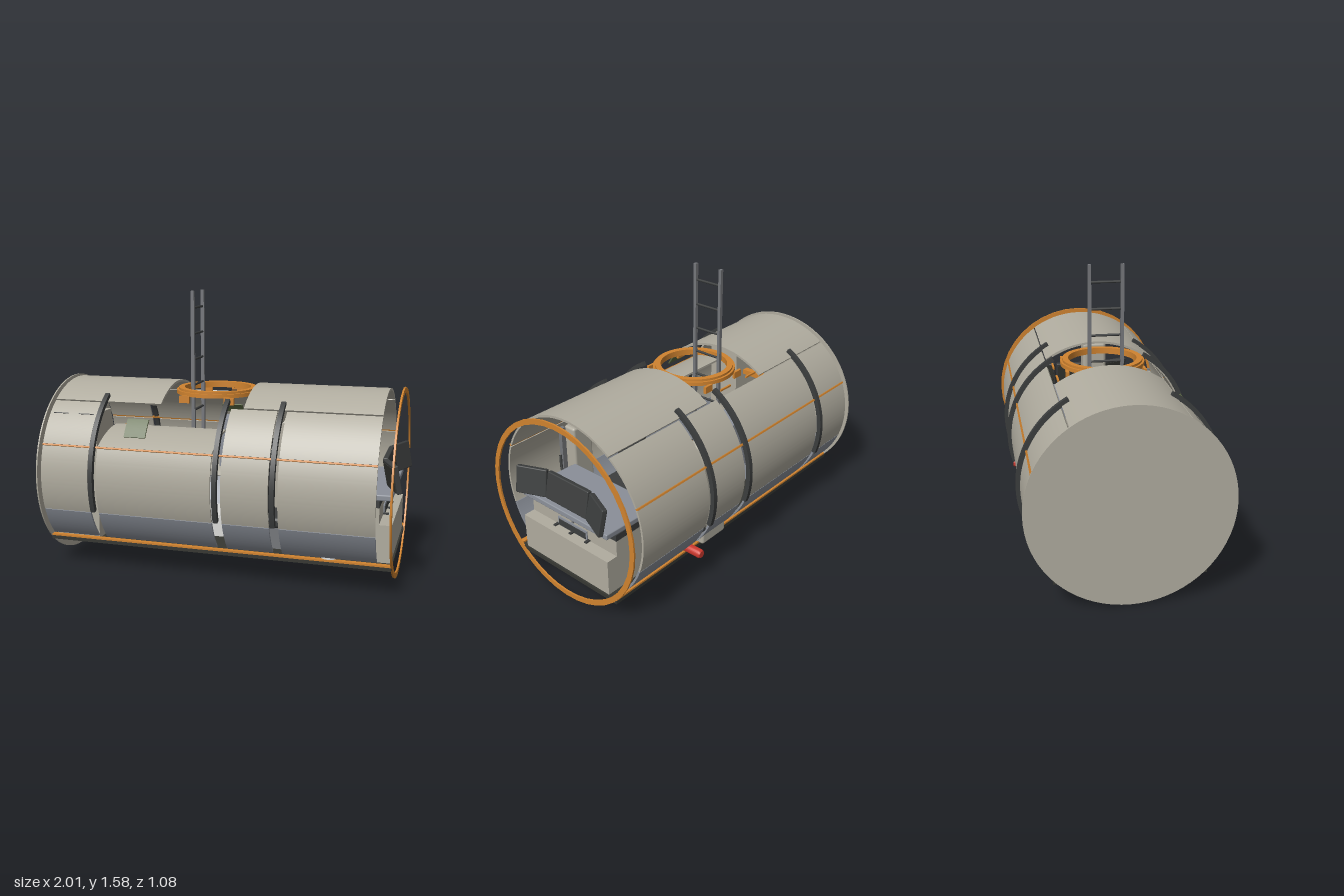
import * as THREE from 'three';
import { toCreasedNormals } from 'three/addons/utils/BufferGeometryUtils.js';
import { RoundedBoxGeometry } from 'three/addons/geometries/RoundedBoxGeometry.js';

const mat = (name, color) => {
  const m = new THREE.MeshStandardMaterial({ color });
  m.name = name;
  return m;
};
const M = {
  shell: mat('warm grey shell', 0xb0ac9f),
  blue: mat('blue grey panel', 0x8b9099),
  dark: mat('charcoal', 0x3c3e3e),
  floor: mat('dark floor', 0x363732),
  orange: mat('orange trim', 0xd0832f),
  steel: mat('ladder steel', 0x75777b),
  green: mat('green screen', 0x5a6842),
  red: mat('red', 0xcc382e),
  white: mat('off white', 0xdcdcda),
};
const CY = 0.54; // height of the hull axis
const D = Math.PI / 180;

export function createModel() {
  const root = new THREE.Group();
  root.name = 'habitatModule';

  const add = (name, geo, material, x = 0, y = 0, z = 0, parent = root) => {
    const m = new THREE.Mesh(geo, material);
    m.name = name;
    m.position.set(x, y, z);
    parent.add(m);
    return m;
  };
  // box given by its limits on each axis
  const box = (name, material, x0, x1, y0, y1, z0, z1, round = 0) => add(name,
    round ? new RoundedBoxGeometry(x1 - x0, y1 - y0, z1 - z0, 2, round)
      : new THREE.BoxGeometry(x1 - x0, y1 - y0, z1 - z0),
    material, (x0 + x1) / 2, (y0 + y1) / 2, (z0 + z1) / 2);
  // curved plate around the x axis; angles in degrees from +z upwards
  const arcPlate = (x0, x1, r0, r1, a0, a1) => {
    const s = new THREE.Shape();
    const p0 = Math.PI - a1 * D, p1 = Math.PI - a0 * D;
    s.absarc(0, 0, r1, p0, p1, false);
    s.absarc(0, 0, r0, p1, p0, true);
    const g = new THREE.ExtrudeGeometry(s, { depth: x1 - x0, bevelEnabled: false, curveSegments: 20 });
    g.rotateY(Math.PI / 2);
    g.translate(x0, 0, 0);
    return toCreasedNormals(g, 0.5);
  };
  const plate = (name, material, x0, x1, r0, r1, a0, a1, side = 1) => side > 0
    ? add(name, arcPlate(x0, x1, r0, r1, a0, a1), material, 0, CY)
    : add(name, arcPlate(x0, x1, r0, r1, 180 - a1, 180 - a0), material, 0, CY);

  // hull walls: four bays, three rows of panels on each side
  const bays = [[-0.975, -0.69], [-0.64, 0.022], [0.08, 0.34], [0.392, 0.902]];
  for (const side of [1, -1]) {
    bays.forEach(([x0, x1], i) => {
      plate('lowerPanel', M.blue, x0, x1, 0.508, 0.52, -42, -20.2, side);
      plate('middlePanel', M.shell, x0, x1, 0.508, 0.52, -19.8, 21.6, side);
      if (side < 0 || i !== 1) plate('upperPanel', M.shell, x0, x1, 0.508, 0.52, 23, 54, side);
    });
    plate('sideRail', M.orange, -0.975, 0.902, 0.512, 0.526, 21.8, 22.8, side);
    for (const x of [-0.665, 0.05, 0.365])
      plate('hoop', M.dark, x - 0.013, x + 0.013, 0.516, 0.542, -18, 60, side);
    box('floorRail', M.orange, -0.99, 0.975, 0.168, 0.18, side * 0.375 - 0.014, side * 0.375 + 0.014);
  }

  // open side hatch, swung inwards about its lower edge
  const hinge = new THREE.Group();
  hinge.name = 'openSideHatch';
  hinge.position.set(0, 0.743, 0.479);
  hinge.rotation.x = -0.6;
  root.add(hinge);
  add('hatchPanel', arcPlate(-0.64, 0.022, 0.508, 0.52, 23, 54), M.shell, 0, CY - 0.743, -0.479, hinge);

  // small plates on the walls
  plate('greenDisplay', M.green, -0.495, -0.37, 0.514, 0.522, 30, 42.5);
  plate('innerDisplay', M.green, -0.18, -0.05, 0.498, 0.506, 140, 147);
  plate('wallSlot', M.dark, -0.955, -0.865, 0.518, 0.5215, 43.7, 44.3);
  plate('wallSlot', M.dark, -0.80, -0.705, 0.518, 0.5215, 43.7, 44.3);

  // roof and end caps
  plate('roofRear', M.shell, -0.975, -0.33, 0.508, 0.521, 55, 125);
  plate('roofFront', M.shell, 0.15, 0.902, 0.508, 0.521, 55, 125);
  const disc = add('endWall', new THREE.CylinderGeometry(0.533, 0.533, 0.008, 72), M.shell, -0.996, 0.5375);
  disc.rotation.z = Math.PI / 2;
  add('endRing', arcPlate(0.974, 0.984, 0.503, 0.533, 0, 359.99), M.orange, 0, 0.5375);
  box('floor', M.floor, -0.992, 0.978, 0.15, 0.17, -0.39, 0.39);

  // top hatch collar with a stepped rim
  const collar = [[0.193, 1.0], [0.238, 1.0], [0.238, 1.022], [0.226, 1.022],
    [0.226, 1.035], [0.193, 1.035], [0.193, 1.0]].map(p => new THREE.Vector2(...p));
  add('hatchCollar', toCreasedNormals(new THREE.LatheGeometry(collar, 64), 0.5), M.orange, -0.09);
  for (const sx of [-1, 1]) for (const sz of [-1, 1])
    box('collarBracket', M.orange, -0.09 + sx * 0.13 - 0.03, -0.09 + sx * 0.13 + 0.03,
      0.965, 1.005, sz * 0.215 - 0.008, sz * 0.215 + 0.008);
  for (const x of [-0.27, -0.04]) box('hatchEdge', M.orange, x - 0.045, x + 0.045, 0.975, 0.985, -0.28, -0.27);

  // ladder through the hatch
  for (const z of [-0.09, 0.09]) box('ladderRail', M.steel, -0.22, -0.2, 0.17, 1.585, z - 0.009, z + 0.009);
  for (let y = 1.49; y > 0.2; y -= 0.147) {
    const r = add('ladderRung', new THREE.CylinderGeometry(0.007, 0.007, 0.18, 10), M.dark, -0.21, y, 0);
    r.rotation.x = Math.PI / 2;
  }

  // console: drawer, worktop and handle
  box('drawer', M.shell, 0.58, 0.968, 0.172, 0.38, -0.325, 0.325);
  box('consoleBody', M.shell, 0.58, 0.9, 0.38, 0.472, -0.325, 0.325);
  box('handlePlate', M.blue, 0.9, 0.906, 0.378, 0.435, -0.11, 0.115);
  box('handleRecess', M.dark, 0.906, 0.91, 0.385, 0.422, -0.1, 0.105);
  box('consoleLock', M.steel, 0.9, 0.906, 0.44, 0.458, -0.006, 0.006);
  box('deskEdge', M.dark, 0.58, 0.9, 0.472, 0.51, -0.325, 0.325);
  const desk = box('worktop', M.blue, 0.58, 0.965, 0.508, 0.54, -0.325, 0.325, 0.006);
  desk.rotation.z = 0.03;
  for (const z of [-0.12, 0, 0.12]) box('drawerClip', M.dark, 0.87, 0.93, 0.38, 0.388, z - 0.008, z + 0.008);

  // three leaning monitors
  const monitor = (z, width, x, yaw) => {
    const g = new THREE.Group();
    g.name = 'monitor';
    g.position.set(x, 0.63, z);
    g.rotation.set(0, yaw, 0.2, 'YXZ');
    add('monitorCase', new RoundedBoxGeometry(0.03, 0.155, width, 2, 0.006), M.dark, 0, 0, 0, g);
    add('monitorScreen', new THREE.BoxGeometry(0.004, 0.13, width - 0.02), M.floor, -0.016, 0, 0, g);
    root.add(g);
  };
  monitor(0, 0.31, 0.92, 0);
  monitor(0.245, 0.18, 0.955, 0.4);
  monitor(-0.245, 0.18, 0.955, -0.4);

  // operator seat
  box('seatBase', M.steel, 0.27, 0.41, 0.17, 0.3, 0.12, 0.26);
  box('seatCushion', M.dark, 0.24, 0.46, 0.3, 0.36, 0.08, 0.3, 0.02);
  box('seatBack', M.dark, 0.22, 0.28, 0.36, 0.7, 0.09, 0.29, 0.02);
  box('headrest', M.dark, 0.22, 0.28, 0.715, 0.785, 0.12, 0.26, 0.02);

  // folded seat by the rear wall
  const fold = box('foldedSeat', M.dark, 0.33, 0.4, 0.23, 0.47, -0.39, -0.33, 0.01);
  fold.rotation.x = 0.08;
  const pad = box('foldedSeatPad', M.dark, 0.34, 0.4, 0.3, 0.43, -0.455, -0.385, 0.01);
  pad.rotation.x = 0.12;

  // lockers, wall boards and loose equipment
  box('tallLocker', M.shell, 0.12, 0.32, 0.17, 0.79, -0.42, -0.3, 0.015);
  box('wallLocker', M.blue, -0.15, 0.08, 0.5, 0.8, -0.38, -0.22);
  box('sideLocker', M.shell, 0.42, 0.56, 0.32, 0.74, 0.34, 0.425, 0.015);
  box('sideBoard', M.steel, 0.57, 0.6, 0.38, 0.74, 0.4, 0.425);
  box('rearLocker', M.shell, -0.97, -0.7, 0.17, 0.9, 0.15, 0.36);
  box('bunk', M.blue, -0.96, -0.35, 0.19, 0.34, -0.36, 0.1, 0.02);
  box('orangeShelf', M.orange, -0.72, -0.68, 0.73, 0.76, -0.16, 0.08);
  box('whiteCase', M.white, -0.18, 0.0, 0.17, 0.3, -0.08, 0.14);
  box('storageBin', M.white, 0.06, 0.2, 0.17, 0.215, 0.1, 0.3);
  box('ceilingRoll', M.shell, 0.2, 0.3, 0.83, 1.04, -0.07, 0.07, 0.02);
  const tank = add('waterTank', new THREE.CylinderGeometry(0.03, 0.03, 0.19, 20), M.white, 0.64, 0.265, 0.352);
  tank.scale.set(1.4, 1, 1);

  // hanging cable
  const cable = new THREE.CatmullRomCurve3([[0.62, 0.58, 0.4], [0.63, 0.5, 0.385], [0.64, 0.43, 0.35], [0.65, 0.39, 0.32]]
    .map(p => new THREE.Vector3(...p)));
  add('cable', new THREE.TubeGeometry(cable, 16, 0.008, 8), M.dark);

  // extinguisher poking out at the back
  const bottle = [[0, -0.1], [0.02, -0.1], [0.026, -0.09], [0.026, 0.06], [0.014, 0.085], [0.014, 0.1], [0, 0.1]]
    .map(p => new THREE.Vector2(...p));
  const ext = add('extinguisher', toCreasedNormals(new THREE.LatheGeometry(bottle, 20), 0.6), M.red, 0.42, 0.2, -0.395);
  ext.rotation.x = Math.PI / 2;

  return root;
}
